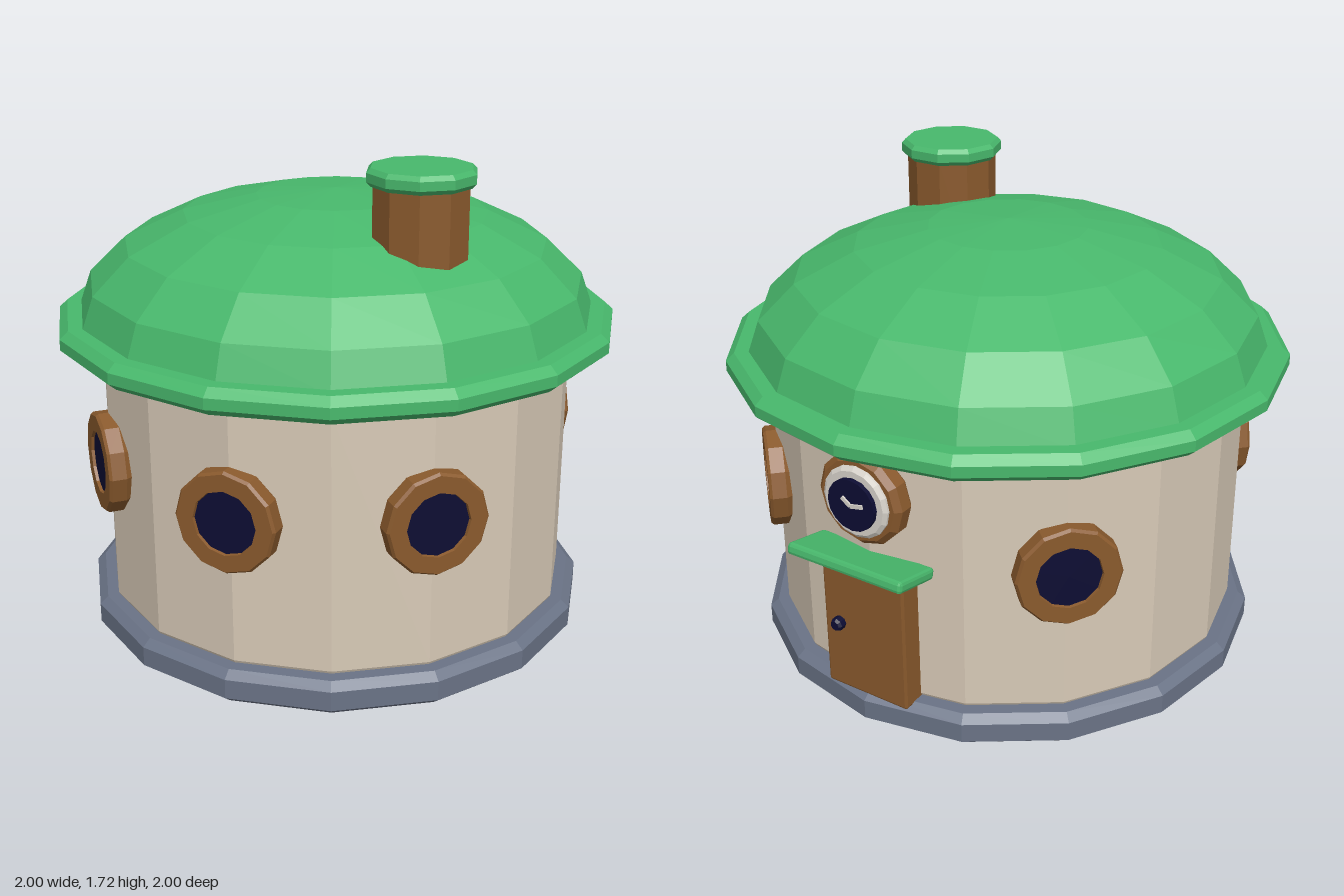
import * as THREE from 'three';
import { RoundedBoxGeometry } from 'three/addons/geometries/RoundedBoxGeometry.js';

const mat = (name, color) => {
  const m = new THREE.MeshStandardMaterial({ color });
  m.name = name;
  return m;
};

// faceted normals
function flat(geo) {
  const g = geo.index ? geo.toNonIndexed() : geo;
  g.computeVertexNormals();
  return g;
}

// faceted solid of revolution from [radius, height] points, bottom to top
function turned(points, sides) {
  return flat(new THREE.LatheGeometry(points.map(([r, y]) => new THREE.Vector2(r, y)), sides));
}

export function createModel() {
  const green = mat('roof green', 0x48b86c);
  const plaster = mat('plaster cream', 0xd8cab7);
  const wood = mat('wood brown', 0x8a5a2d);
  const stone = mat('stone grey', 0x6a7386);
  const navy = mat('glass navy', 0x0d0d33);
  const white = mat('clock white', 0xd9d4cc);

  const house = new THREE.Group();
  house.name = 'roundHouse';
  const add = (parent, name, geo, material, x = 0, y = 0, z = 0) => {
    const m = new THREE.Mesh(geo, material);
    m.name = name;
    m.position.set(x, y, z);
    parent.add(m);
    return m;
  };

  // base, wall and roof share sixteen sides
  add(house, 'base', turned([[0, 0], [0.89, 0], [0.92, 0.025], [0.92, 0.095], [0.89, 0.12], [0, 0.12]], 16), stone);
  add(house, 'wall', turned([[0.84, 0.11], [0.85, 0.13], [0.85, 1.04], [0.84, 1.06]], 16), plaster);
  add(house, 'roofBrim', turned([[0, 1.054], [0.97, 1.054], [1, 1.08], [1, 1.118], [0.97, 1.145], [0.9, 1.145]], 16), green);
  add(house, 'roofDome', turned([[0.925, 1.13], [0.88, 1.255], [0.75, 1.38], [0.54, 1.48], [0.28, 1.54], [0, 1.56]], 16), green);

  // chimney
  const chimney = new THREE.Group();
  chimney.name = 'chimney';
  chimney.position.set(0.42, 0, 0.275);
  chimney.rotation.y = Math.PI / 2;
  house.add(chimney);
  add(chimney, 'chimneyStack', turned([[0.163, 1.3], [0.163, 1.67]], 10), wood);
  add(chimney, 'chimneyCap', turned([[0, 1.66], [0.17, 1.66], [0.184, 1.675], [0.184, 1.705], [0.17, 1.72], [0, 1.72]], 10), green);

  // round windows, centred on the wall at five angles
  const frameGeo = turned([[0.165, 0.81], [0.18, 0.835], [0.18, 0.885], [0.172, 0.895], [0.113, 0.895], [0.108, 0.87]], 12);
  const paneGeo = turned([[0.112, 0.87], [0.112, 0.884], [0, 0.884]], 24);
  frameGeo.rotateX(Math.PI / 2);
  paneGeo.rotateX(Math.PI / 2);
  for (const deg of [0, 45, -45, 135, -135]) {
    const w = new THREE.Group();
    w.name = 'window';
    w.position.y = 0.653;
    w.rotation.y = THREE.MathUtils.degToRad(deg);
    house.add(w);
    add(w, 'windowFrame', frameGeo, wood);
    add(w, 'windowPane', paneGeo, navy);
  }

  // door with knob and awning at the back
  add(house, 'door', flat(new RoundedBoxGeometry(0.33, 0.5, 0.1, 1, 0.008)), wood, 0, 0.36, -0.85);
  const knob = turned([[0.024, 0.88], [0.024, 0.922], [0.017, 0.932], [0, 0.932]], 8);
  add(house, 'doorKnob', knob.rotateX(-Math.PI / 2), navy, 0.1, 0.373, 0);
  const awning = add(house, 'awning', flat(new RoundedBoxGeometry(0.46, 0.042, 0.19, 1, 0.012)), green, 0, 0.65, -0.902);
  awning.rotation.x = 0.22;

  // round clock above the door
  const clock = new THREE.Group();
  clock.name = 'clock';
  clock.position.y = 0.872;
  clock.rotation.y = Math.PI;
  house.add(clock);
  const disc = (name, points, sides, material) => add(clock, name, turned(points, sides).rotateX(Math.PI / 2), material);
  disc('clockFrame', [[0.145, 0.81], [0.165, 0.835], [0.165, 0.88], [0.145, 0.9], [0, 0.9]], 12, wood);
  disc('clockRing', [[0.128, 0.89], [0.128, 0.908], [0.115, 0.918], [0, 0.918]], 16, white);
  disc('clockFace', [[0.092, 0.9], [0.092, 0.934], [0, 0.934]], 16, navy);
  // hands radiate from the middle of the face
  for (const [length, angle] of [[0.05, 0.2], [0.04, 2.5]]) {
    const hand = add(clock, 'clockHand', new THREE.BoxGeometry(length, 0.014, 0.006), white,
      Math.cos(angle) * length / 2, Math.sin(angle) * length / 2, 0.937);
    hand.rotation.z = angle;
  }
  return house;
}
